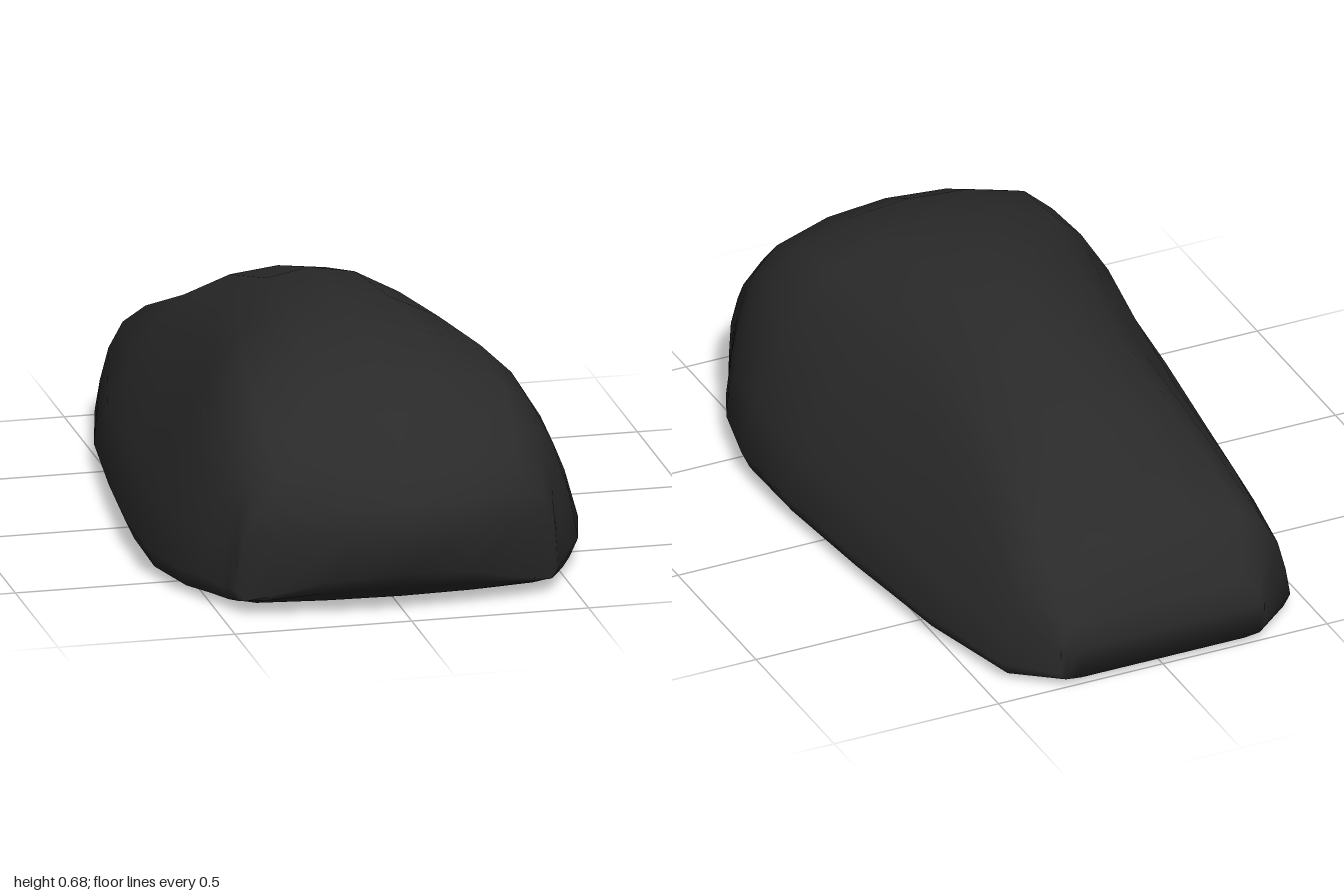
import * as THREE from 'three';
import { mergeVertices } from 'three/addons/utils/BufferGeometryUtils.js';

// Half cross-sections as [x / half width, y / height], bottom centre to top centre
const FLARED = [[0, 0], [0.45, 0], [0.82, 0], [0.96, 0.025], [1, 0.1], [0.91, 0.29], [0.75, 0.52], [0.58, 0.72], [0.44, 0.86], [0.22, 0.965], [0, 1]];
const BOXY = [[0, 0], [0.42, 0], [0.8, 0], [0.95, 0.03], [1, 0.13], [1, 0.38], [1, 0.65], [0.95, 0.85], [0.8, 0.95], [0.42, 0.99], [0, 1]];

// Stations back to front: z, bottom y, top y, half width, boxiness,
// then how far the sides bow backward and how far the lower corners drop
const STATIONS = [
  [-1, 0.11, 0.11, 0.31, 1, 0, 0],
  [-1, 0.02, 0.2, 0.31, 1, 0, 0],
  [-0.89, 0.008, 0.37, 0.44, 0.65, 0, 0],
  [-0.57, 0.003, 0.535, 0.52, 0.2, 0, 0],
  [-0.19, 0, 0.65, 0.57, 0, 0, 0],
  [0.15, 0, 0.683, 0.605, 0.07, 0, 0],
  [0.42, 0, 0.663, 0.612, 0.3, 0.01, 0],
  [0.63, 0.003, 0.61, 0.567, 0.48, 0.03, 0],
  [0.78, 0.013, 0.53, 0.522, 0.62, 0.08, 0],
  [0.87, 0.032, 0.45, 0.485, 0.72, 0.11, 0.02],
  [0.92, 0.075, 0.4, 0.468, 0.8, 0.125, 0.06],
  [0.97, 0.13, 0.325, 0.455, 0.9, 0.145, 0.11],
  [1, 0.25, 0.25, 0.44, 1, 0.165, 0.03],
];

// Full closed ring of points for one station
function ring([z, y0, y1, w, boxiness, bow, drop]) {
  const half = FLARED.map(([fx, fy], i) => {
    const x = THREE.MathUtils.lerp(fx, BOXY[i][0], boxiness);
    const y = THREE.MathUtils.lerp(fy, BOXY[i][1], boxiness);
    const lowered = y1 > y0 ? drop * x * x * (1 - y) : drop * x * x;
    return [x * w, y0 + y * (y1 - y0) - lowered, z - bow * x * x];
  });
  const mirrored = half.slice(1, -1).reverse().map(([x, y, pz]) => [-x, y, pz]);
  return [...half, ...mirrored];
}

// The end rings fold into a line, so welding closes the surface smoothly
function loft(stations) {
  const rings = stations.map(ring);
  const n = rings[0].length;
  const index = [];
  for (let s = 0; s < rings.length - 1; s++) {
    for (let i = 0; i < n; i++) {
      const a = s * n + i, b = s * n + (i + 1) % n;
      index.push(a, b, b + n, a, b + n, a + n);
    }
  }
  const geometry = new THREE.BufferGeometry();
  geometry.setAttribute('position', new THREE.Float32BufferAttribute(rings.flat(2), 3));
  geometry.setIndex(index);
  const welded = mergeVertices(geometry);
  welded.computeVertexNormals();
  return welded;
}

export function createModel() {
  const group = new THREE.Group();
  group.name = 'roundedShell';

  // One smooth closed body: domed top, flared sides, bowed front, flat base
  const material = new THREE.MeshStandardMaterial({ color: 0x2a2a2a });
  const body = new THREE.Mesh(loft(STATIONS), material);
  body.name = 'body';
  group.add(body);
  return group;
}
